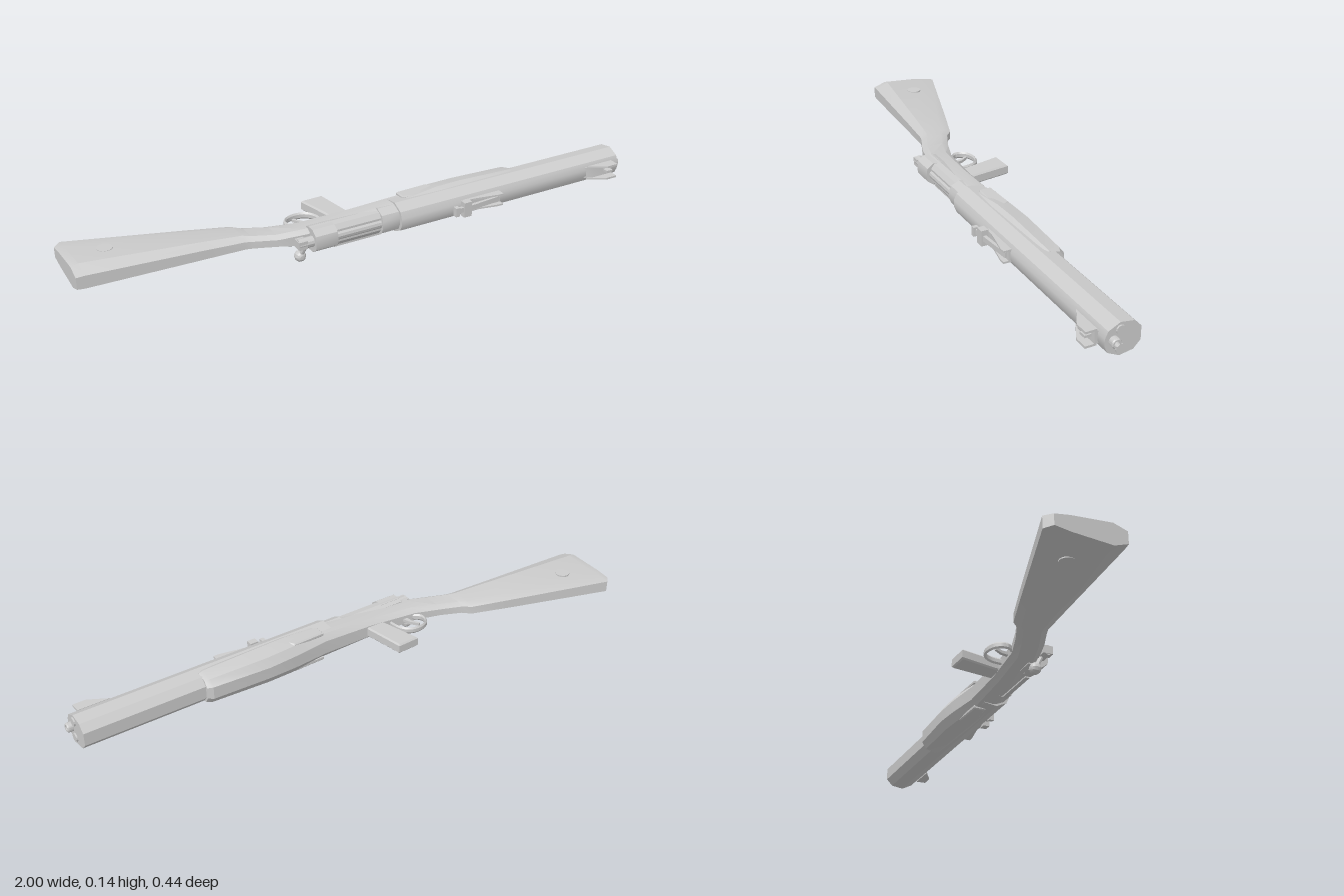
import * as THREE from 'three';
import { toCreasedNormals } from 'three/addons/utils/BufferGeometryUtils.js';

// Built upright (x forward, y up, z to the right side), then laid on its right side.
const mat = new THREE.MeshStandardMaterial({ color: 0xcccccc, side: THREE.DoubleSide });

export function createModel() {
  const gun = new THREE.Group();
  gun.name = 'rifle';

  const add = (name, geo, x = 0, y = 0, z = 0) => {
    const m = new THREE.Mesh(toCreasedNormals(geo, 0.45), mat);
    m.name = name;
    m.position.set(x, y, z);
    gun.add(m);
    return m;
  };
  const box = (name, x0, x1, y0, y1, z0, z1) =>
    add(name, new THREE.BoxGeometry(x1 - x0, y1 - y0, z1 - z0), (x0 + x1) / 2, (y0 + y1) / 2, (z0 + z1) / 2);
  const shapeOf = pts => new THREE.Shape(pts.map(p => new THREE.Vector2(...p)));
  // side profile in x, y given a thickness in z
  const plate = (name, pts, depth, z = 0, bevel = 0) => {
    const g = new THREE.ExtrudeGeometry(shapeOf(pts), {
      depth: depth - 2 * bevel, bevelEnabled: bevel > 0, bevelSize: bevel, bevelOffset: -bevel,
      bevelThickness: bevel, bevelSegments: 1 });
    return add(name, g, 0, 0, z - depth / 2 + bevel);
  };
  // symmetric section (half width, height) swept along x
  const bar = (name, half, x0, x1) => {
    const pts = [...half, ...half.slice().reverse().map(([w, h]) => [-w, h])];
    const g = new THREE.ExtrudeGeometry(shapeOf(pts), { depth: x1 - x0, bevelEnabled: false });
    return add(name, g.rotateY(Math.PI / 2), x0);
  };
  const rod = (name, r, x0, x1, y, z, sides = 12) =>
    add(name, new THREE.CylinderGeometry(r, r, x1 - x0, sides).rotateZ(-Math.PI / 2), (x0 + x1) / 2, y, z);
  const rodBetween = (name, a, b, r) =>
    add(name, new THREE.TubeGeometry(new THREE.LineCurve3(new THREE.Vector3(...a), new THREE.Vector3(...b)), 1, r, 8));

  // One-piece stock: x, bottom, top, then half widths at bottom, lower side, upper side, top
  const stations = [
    [-1.0, -0.198, 0.028, 0.018, 0.026, 0.036, 0.02],
    [-0.975, -0.22, 0.03, 0.02, 0.028, 0.041, 0.022],
    [-0.6, -0.102, 0.054, 0.016, 0.026, 0.031, 0.016],
    [-0.46, -0.056, 0.064, 0.014, 0.024, 0.026, 0.013],
    [-0.435, -0.032, 0.072, 0.013, 0.022, 0.023, 0.012],
    [-0.36, 0.0, 0.102, 0.012, 0.022, 0.022, 0.012],
    [-0.27, 0.03, 0.125, 0.014, 0.028, 0.031, 0.02],
    [-0.1, 0.046, 0.13, 0.02, 0.036, 0.039, 0.03],
    [0.1, 0.051, 0.134, 0.024, 0.045, 0.05, 0.045],
    [0.23, 0.037, 0.125, 0.022, 0.05, 0.061, 0.05],
    [0.33, 0.032, 0.122, 0.02, 0.048, 0.061, 0.05],
    [0.54, 0.042, 0.12, 0.022, 0.045, 0.054, 0.048],
    [0.558, 0.052, 0.115, 0.02, 0.04, 0.05, 0.045]];
  const pos = [], idx = [], N = 8;
  for (const [x, b, t, wb, wl, wu, wt] of stations) {
    const l = b + (t - b) * 0.22, u = b + (t - b) * 0.8;
    for (const [y, z] of [[b, wb], [l, wl], [u, wu], [t, wt], [t, -wt], [u, -wu], [l, -wl], [b, -wb]]) pos.push(x, y, z);
  }
  for (let s = 0; s < stations.length - 1; s++)
    for (let i = 0; i < N; i++) {
      const a = s * N + i, b = s * N + (i + 1) % N;
      idx.push(a, a + N, b, b, a + N, b + N);
    }
  const last = (stations.length - 1) * N;
  for (let i = 1; i < N - 1; i++) idx.push(0, i, i + 1, last, last + i + 1, last + i);
  const stock = new THREE.BufferGeometry();
  stock.setAttribute('position', new THREE.Float32BufferAttribute(pos, 3));
  stock.setIndex(idx);
  add('stock', stock);

  // Round discs on both cheeks, butt plate screws, raised fore-end panels
  for (const s of [1, -1]) {
    add('stockDisc', new THREE.CylinderGeometry(0.026, 0.026, 0.01, 16).rotateX(Math.PI / 2), -0.87, -0.09, s * 0.029);
    plate('foreEndPanel', [[0.1, 0.062], [0.22, 0.058], [0.235, 0.085], [0.17, 0.112], [0.1, 0.105]], 0.016, s * 0.047, 0.004);
  }
  for (const y of [-0.14, -0.02]) rod('buttScrew', 0.01, -1.0, -0.985, y, 0);

  // Faceted barrel shroud with muzzle and two lower tubes
  bar('barrelShroud', [[0.022, 0.06], [0.046, 0.083], [0.053, 0.128], [0.034, 0.166], [0.012, 0.176]], 0.055, 0.98);
  const ring = [[0.009, -0.02], [0.016, -0.02], [0.016, 0.01], [0.013, 0.014], [0.009, 0.014], [0.009, -0.02]];
  add('muzzle', new THREE.LatheGeometry(ring.map(p => new THREE.Vector2(...p)), 16).rotateZ(-Math.PI / 2), 0.985, 0.148);
  for (const s of [1, -1]) rod('lowerTube', 0.015, 0.96, 0.985, 0.127, s * 0.03);

  // Receiver, bolt and handle
  bar('receiver', [[0.034, 0.095], [0.041, 0.115], [0.038, 0.138], [0.022, 0.15]], -0.26, 0.06);
  bar('rearBridge', [[0.04, 0.11], [0.04, 0.142], [0.024, 0.164], [0.012, 0.167]], -0.26, -0.18);
  bar('frontRing', [[0.042, 0.1], [0.046, 0.125], [0.032, 0.155], [0.012, 0.163]], -0.01, 0.06);
  rod('bolt', 0.018, -0.312, 0.0, 0.14, 0);
  box('boltCap', -0.315, -0.285, 0.122, 0.157, -0.014, 0.014);
  box('sideRail', -0.18, 0.0, 0.122, 0.138, 0.03, 0.045);
  rodBetween('boltHandle', [-0.275, 0.138, 0], [-0.288, 0.106, 0.062], 0.008);
  add('boltKnob', new THREE.SphereGeometry(0.02, 10, 8), -0.288, 0.104, 0.064);

  // Magazine, trigger guard and trigger
  plate('magazine', [[-0.177, 0.103], [-0.095, 0.106], [-0.072, -0.05], [-0.142, -0.05]].map(([x, y]) => [x, -y]), 0.036, 0, 0.005);
  const guard = new THREE.CatmullRomCurve3([[-0.25, 0.045], [-0.285, 0.01], [-0.275, -0.025], [-0.235, -0.04],
    [-0.195, -0.03], [-0.175, 0.0], [-0.17, 0.045]].map(([x, y]) => new THREE.Vector3(x, y, 0)));
  const guardGeo = new THREE.TubeGeometry(guard, 20, 0.005, 6);
  add('triggerGuard', guardGeo).scale.z = 2.4;
  plate('trigger', [[-0.235, 0.045], [-0.24, 0.01], [-0.255, -0.018], [-0.247, -0.02], [-0.228, 0.008], [-0.218, 0.045]], 0.01);

  // Rear sight: base with side walls, leaf and slider
  box('rearSightBase', 0.3, 0.45, 0.165, 0.182, -0.022, 0.022);
  for (const s of [1, -1])
    plate('rearSightWall', [[0.31, 0.178], [0.45, 0.178], [0.45, 0.2], [0.43, 0.2], [0.36, 0.186]], 0.006, s * 0.019);
  plate('rearSightLeaf', [[0.25, 0.19], [0.33, 0.188], [0.44, 0.182], [0.44, 0.19], [0.33, 0.2], [0.25, 0.202]], 0.018);
  box('rearSightSlider', 0.285, 0.315, 0.182, 0.206, -0.027, 0.027);
  box('rearSightNotch', 0.25, 0.265, 0.19, 0.208, -0.016, 0.016);

  // Front sight: ramp, blade and protective ears
  plate('frontSightBase', [[0.815, 0.168], [0.945, 0.168], [0.945, 0.186], [0.86, 0.186]], 0.04);
  box('frontSightBlade', 0.905, 0.93, 0.18, 0.208, -0.004, 0.004);
  for (const s of [1, -1]) {
    const ear = plate('frontSightEar', [[0.835, 0.178], [0.945, 0.178], [0.945, 0.215], [0.9, 0.215]], 0.007, s * 0.023);
    ear.rotation.y = 0;
  }

  // Lay the rifle on its right side
  gun.rotation.x = Math.PI / 2;
  gun.position.y = 0.084;
  const model = new THREE.Group();
  model.name = 'model';
  model.add(gun);
  return model;
}
